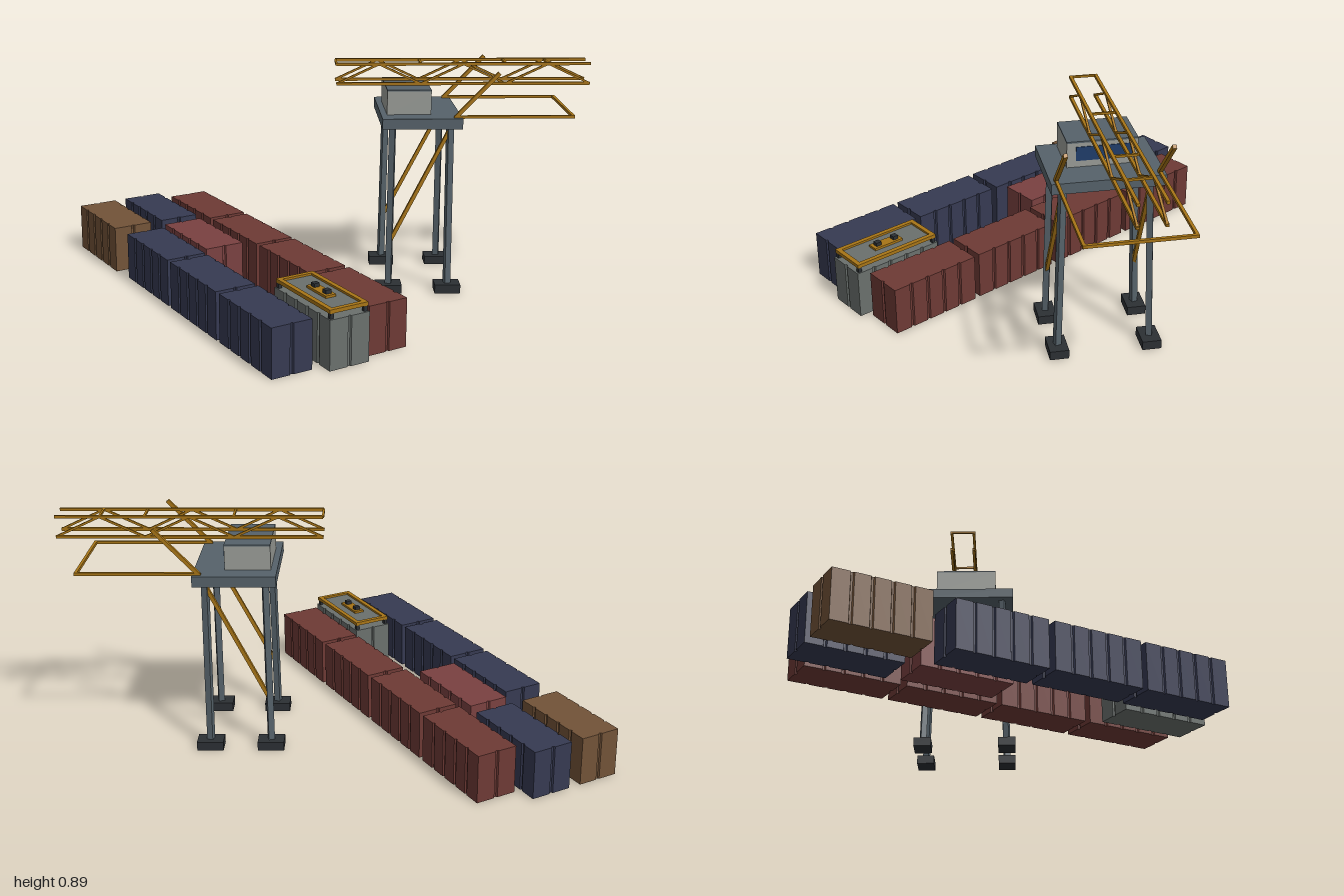
import * as THREE from 'three';

const mat = (color) => new THREE.MeshStandardMaterial({ color, flatShading: true });
const M = {
  red: mat(0x6e3a35), rose: mat(0x7a4140), navy: mat(0x363a52), brown: mat(0x725338),
  grey: mat(0x6a706d), yellow: mat(0xa87516), steel: mat(0x56626a), dark: mat(0x2c3034),
  wall: mat(0x9a9d98), glass: mat(0x1f3d6b),
};
const V = (x, y, z) => new THREE.Vector3(x, y, z);

function box(parent, name, material, w, h, d, x, y, z) {
  const m = new THREE.Mesh(new THREE.BoxGeometry(w, h, d), material);
  m.position.set(x, y, z);
  m.name = name;
  parent.add(m);
  return m;
}

// Square bar between two points
function beam(parent, name, material, a, b, t) {
  const m = new THREE.Mesh(new THREE.BoxGeometry(t, t, a.distanceTo(b)), material);
  m.position.copy(a).add(b).multiplyScalar(0.5);
  m.lookAt(b);
  m.name = name;
  parent.add(m);
}

// Container plan with narrow grooves in all four walls, extruded upwards
const L = 0.365, W = 0.16, H = 0.185;
function containerGeometry() {
  const pts = [], groove = 0.007, depth = 0.006;
  const wall = (from, dir, inward, length, panels) => {
    pts.push(from.clone());
    for (let i = 1; i < panels; i++) {
      const s = (length * i) / panels;
      for (const [o, k] of [[-groove, 0], [-groove / 2, depth], [groove / 2, depth], [groove, 0]])
        pts.push(from.clone().addScaledVector(dir, s + o).addScaledVector(inward, k));
    }
  };
  const v = (x, y) => new THREE.Vector2(x, y);
  wall(v(-L / 2, -W / 2), v(1, 0), v(0, 1), L, 5);
  wall(v(L / 2, -W / 2), v(0, 1), v(-1, 0), W, 2);
  wall(v(L / 2, W / 2), v(-1, 0), v(0, -1), L, 5);
  wall(v(-L / 2, W / 2), v(0, -1), v(1, 0), W, 2);
  const g = new THREE.ExtrudeGeometry(new THREE.Shape(pts), { depth: H, bevelEnabled: false });
  return g.rotateX(-Math.PI / 2);
}

function buildContainers() {
  const group = new THREE.Group();
  group.name = 'containers';
  const geo = containerGeometry();
  const layout = [
    ['red', -0.537, -0.278], ['red', -0.2, -0.083], ['red', 0.136, 0.11], ['red', 0.473, 0.302],
    ['navy', -0.695, -0.152], ['rose', -0.337, 0.067], ['grey', 0.414, 0.481],
    ['brown', -0.8, 0.029], ['navy', -0.398, 0.246], ['navy', -0.061, 0.441], ['navy', 0.275, 0.634],
  ];
  for (const [color, x, z] of layout) {
    const m = new THREE.Mesh(geo, M[color]);
    m.name = color + 'Container';
    m.position.set(x, 0, z);
    m.rotation.y = -Math.PI / 6;
    group.add(m);
  }
  return group;
}

// Lifting frame resting on the grey container
function buildSpreader() {
  const g = new THREE.Group();
  g.name = 'spreader';
  const t = 0.018, l = 0.355, w = 0.155, y = 0.212;
  for (const s of [-1, 1]) {
    box(g, 'spreaderSideBar', M.yellow, l, 0.014, t, 0, y, s * (w - t) / 2);
    box(g, 'spreaderEndBar', M.yellow, t, 0.014, w - 2 * t, s * (l - t) / 2, y, 0);
    box(g, 'spreaderPulley', M.dark, 0.022, 0.016, 0.022, s * 0.038, 0.226, 0);
    for (const k of [-1, 1])
      box(g, 'twistLock', M.dark, 0.014, 0.022, 0.014, s * (l - t) / 2, 0.195, k * (w - t) / 2);
  }
  box(g, 'spreaderPlate', M.grey, l - 2 * t, 0.006, w - 2 * t, 0, y - 0.004, 0);
  box(g, 'spreaderHead', M.yellow, 0.125, 0.012, 0.042, 0, 0.214, 0);
  g.position.set(0.414, 0, 0.481);
  g.rotation.y = -Math.PI / 6;
  return g;
}

function buildCrane() {
  const g = new THREE.Group();
  g.name = 'crane';

  // Deck, machine house and window
  box(g, 'platform', M.steel, 0.305, 0.04, 0.4, 0, 0.68, 0);
  box(g, 'machineHouse', M.wall, 0.169, 0.09, 0.25, -0.045, 0.745, 0);
  box(g, 'houseRoof', M.steel, 0.169, 0.006, 0.25, -0.045, 0.793, 0);
  box(g, 'houseWindow', M.glass, 0.004, 0.052, 0.205, 0.04, 0.75, -0.01);

  // Splayed legs on foot pads
  for (const sx of [-1, 1]) for (const sz of [-1, 1]) {
    beam(g, 'leg', M.steel, V(sx * 0.115, 0.02, sz * 0.17), V(sx * 0.11, 0.67, sz * 0.153), 0.023);
    box(g, 'footPad', M.dark, 0.1, 0.034, 0.07, sx * 0.115, 0.017, sz * 0.17);
  }

  // Leg braces, boom stays and outrigger frame
  for (const s of [-1, 1]) {
    beam(g, 'legBrace', M.yellow, V(-0.114, 0.2, s * 0.165), V(0.11, 0.65, s * 0.154), 0.014);
    beam(g, 'stay', M.yellow, V(0.125, 0.7, s * 0.18), V(0.286, 0.872, s * 0.18), 0.014);
    beam(g, 'outriggerSide', M.yellow, V(0.12, 0.703, s * 0.18), V(0.573, 0.703, s * 0.18), 0.011);
  }
  beam(g, 'outriggerEnd', M.yellow, V(0.573, 0.703, -0.185), V(0.573, 0.703, 0.185), 0.011);

  // Lattice boom: two trussed sides joined by cross bars
  const x0 = -0.32, x1 = 0.663, lo = 0.803, hi = 0.88, n = 6, zc = -0.008, half = 0.046;
  const at = (i) => x0 + ((x1 - x0) * i) / n;
  for (const s of [-1, 1]) {
    const z = zc + s * half;
    for (const y of [lo, hi]) beam(g, 'boomChord', M.yellow, V(x0, y, z), V(x1, y, z), 0.011);
    for (let i = 0; i < n; i++) {
      const [a, b] = i % 2 ? [hi, lo] : [lo, hi];
      beam(g, 'boomLacing', M.yellow, V(at(i), a, z), V(at(i + 1), b, z), 0.008);
    }
  }
  for (const i of [0, 2, 4, 5])
    beam(g, 'boomCrossBar', M.yellow, V(at(i), hi, zc - half), V(at(i), hi, zc + half), 0.008);

  g.position.set(0.398, 0, -0.356);
  g.rotation.y = Math.PI / 6;
  return g;
}

export function createModel() {
  const model = new THREE.Group();
  model.name = 'containerYard';
  model.add(buildContainers(), buildSpreader(), buildCrane());
  return model;
}
